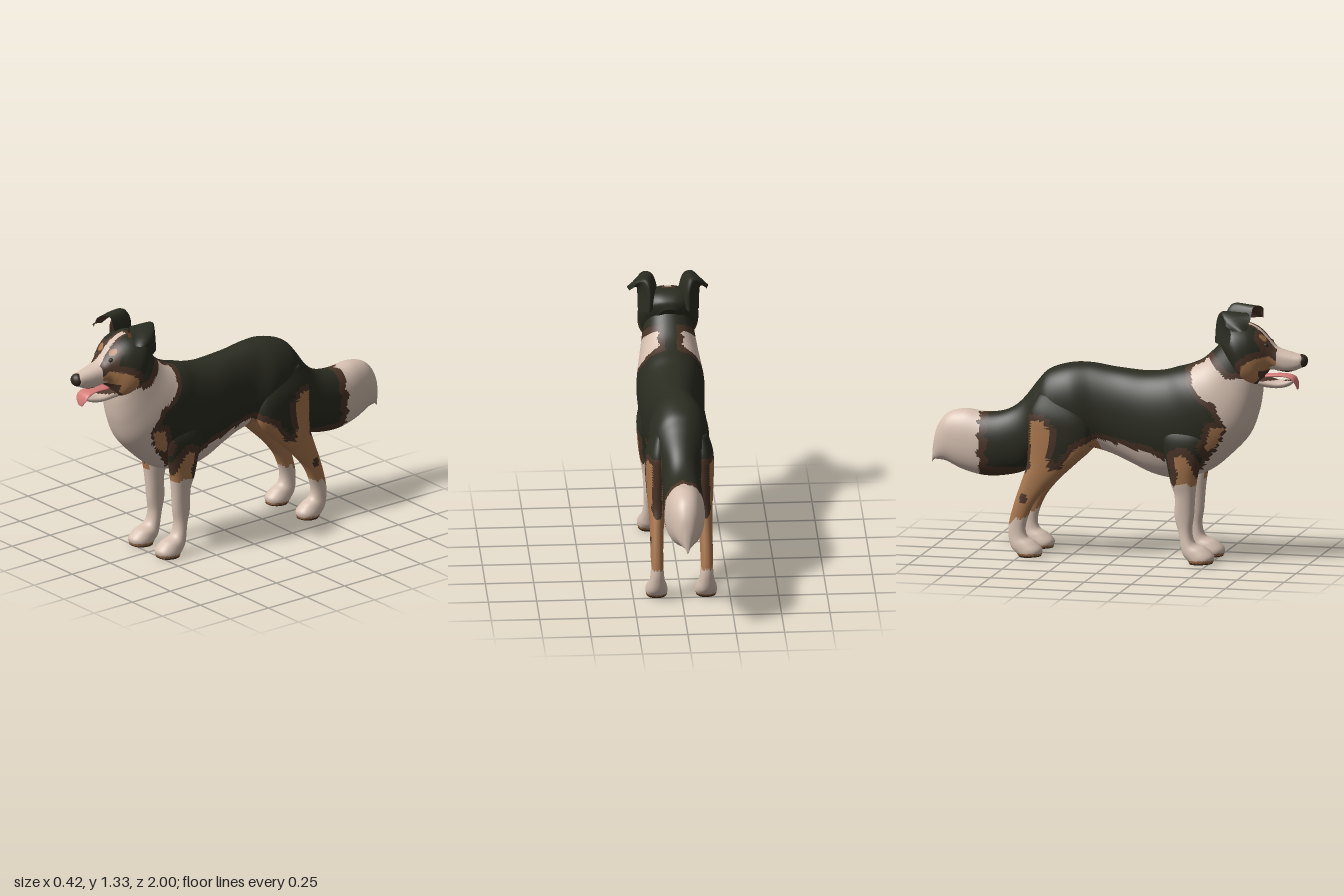
import * as THREE from 'three';

const mat = (name, color) => Object.assign(new THREE.MeshStandardMaterial({ color }), { name });
const BLACK = 0, BROWN = 1, TAN = 2, CREAM = 3, PINK = 4, NOSE = 5;
const materials = [
  mat('black coat', 0x2b2c21), mat('dark brown trim', 0x4a3427), mat('tan coat', 0xa9774e),
  mat('cream coat', 0xd6c0b1), mat('tongue pink', 0xd47c78), mat('nose dark', 0x33271f),
];

// Signed distance to a polygon in the (z, y) plane, negative inside.
function polyDist(p, z, y) {
  let d = Infinity, inside = false;
  for (let i = 0, j = p.length - 1; i < p.length; j = i++) {
    const [az, ay] = p[i], [bz, by] = p[j], ez = bz - az, ey = by - ay;
    const t = THREE.MathUtils.clamp(((z - az) * ez + (y - ay) * ey) / (ez * ez + ey * ey), 0, 1);
    d = Math.min(d, Math.hypot(z - az - t * ez, y - ay - t * ey));
    if ((ay > y) !== (by > y) && z < az + (ez * (y - ay)) / ey) inside = !inside;
  }
  return inside ? -d : d;
}

// Coat markings, outlined on the side of the animal.
const bib = [[.8, 1.05], [.66, .98], [.6, .985], [.53, 1.05], [.48, 1.09], [.39, 1.04], [.42, .95], [.48, .88],
  [.54, .85], [.58, .77], [.6, .7], [.54, .6], [.45, .49], [.36, .48], [.27, .54], [.19, .575], [.03, .605],
  [-.1, .63], [-.12, .5], [.3, .3], [.7, .4], [.9, .8]];
const shoulderPatch = [[.59, .73], [.52, .725], [.49, .62], [.5, .59], [.55, .63]];
const elbowPatch = [[.45, .4], [.42, .52], [.38, .58], [.33, .56], [.35, .47], [.33, .4]];
const thighPatch = [[-.1, .63], [-.2, .58], [-.28, .47], [-.34, .46], [-.35, .58], [-.33, .66], [-.37, .72], [-.44, .72],
  [-.44, .47], [-.6, .3], [-.5, .1], [-.15, .4], [-.08, .58]];
const cheekPatch = [[.86, 1.06], [.81, 1.1], [.73, 1.085], [.68, 1.05], [.665, .97], [.71, .93], [.78, 1]];
const jag = (a) => 0.008 * Math.sin(a * 70) + 0.006 * Math.sin(a * 131);

function bodyColor(x, y, z) {
  const ax = Math.abs(x);
  if (z < -.46) {
    const edge = -.73 + jag(x + y) - .03 * Math.abs(y - .57);
    if (z < edge) return CREAM;
    return z < edge + .045 || y < .455 ? BROWN : BLACK;
  }
  const dBib = z < .6 && y > .9 ? Math.max(polyDist(bib, z, y), .065 - ax) : polyDist(bib, z, y);
  const dTan = Math.min(polyDist(shoulderPatch, z, y), polyDist(thighPatch, z, y));
  if (dTan < 0 && ax > .05) return TAN;
  if (dBib < jag(z + y) * .6) return CREAM;
  return Math.min(dBib, dTan) < .032 ? BROWN : BLACK;
}

function frontLegColor(x, y, z) {
  if (y < .012) return BROWN;
  if (y < .024) return TAN;
  if (y < .42 + jag(z) || Math.abs(x) < .085) return CREAM;
  const d = Math.min(polyDist(elbowPatch, z, y), polyDist(shoulderPatch, z, y));
  return d < 0 ? TAN : d < .04 ? BROWN : BLACK;
}

function hindLegColor(x, y, z) {
  if (y < .012) return BROWN;
  if (y < .2 + jag(z) + (z + .5) * .4) return y < .022 ? TAN : CREAM;
  if (Math.hypot(z + .475, (y - .31) * .8) < .022 && Math.abs(x) > .13) return BROWN;
  if (y < .4 || (Math.abs(x) < .1 && y < .62)) return TAN;
  const d = polyDist(thighPatch, z, y);
  return d < 0 ? TAN : d < .032 ? BROWN : BLACK;
}

function headColor(x, y, z) {
  const ax = Math.abs(x);
  if (z > .66 && y > 1.08 && ax < .018 + Math.max(0, z - .8) * .3) return CREAM;
  if (z > .76 && y < 1.022) return BROWN;
  if (z > .845 || (z > .81 && y < 1.08 && ax < .06)) return CREAM;
  if (ax < .065 && y < 1) return CREAM;
  if (z > .7 && Math.hypot((ax - .05) * .8, y - 1.19) < .017) return TAN;
  const d = polyDist(cheekPatch, z, y);
  if (d < 0) return TAN;
  return d < .035 || (z > .735 && ax < .1) || (z > .64 && ax < .035) ? BROWN : BLACK;
}

const jawColor = (x, y, z) => (y > .965 || z < .72 ? BROWN : CREAM);

// Geometry whose faces are grouped by a colour rule taken at their centres.
function paint(pos, tris, rule) {
  const buckets = materials.map(() => []);
  const mid = (t, k) => (pos[t[0] * 3 + k] + pos[t[1] * 3 + k] + pos[t[2] * 3 + k]) / 3;
  for (const t of tris) buckets[rule(mid(t, 0), mid(t, 1), mid(t, 2))].push(...t);
  const g = new THREE.BufferGeometry();
  g.setAttribute('position', new THREE.Float32BufferAttribute(pos, 3));
  g.setIndex(buckets.flat());
  let start = 0;
  buckets.forEach((b, i) => { if (b.length) g.addGroup(start, b.length, i); start += b.length; });
  g.computeVertexNormals();
  return g;
}

// Closed loft; a station is [z, y of one edge, z, y of the other edge, half width, centre x].
function loft(name, stations, rule, rings, sides, side = 1, power = .9) {
  const curve = (f) => new THREE.CatmullRomCurve3(stations.map(f), false, 'catmullrom');
  const A = curve((s) => new THREE.Vector3(s[4], s[1], s[0]));
  const B = curve((s) => new THREE.Vector3(s[5] || 0, s[3], s[2]));
  const pos = [], tris = [], soft = (v) => Math.sign(v) * Math.abs(v) ** power;
  const add = (x, y, z) => pos.push(x * side, Math.max(0, y), z);
  for (let i = 0; i <= rings; i++) {
    const a = A.getPoint(i / rings), b = B.getPoint(i / rings);
    for (let j = 0; j < sides; j++) {
      const th = (j / sides) * Math.PI * 2, s = soft(Math.sin(th)) / 2;
      add(b.x + Math.max(a.x, .002) * soft(Math.cos(th)), (a.y + b.y) / 2 + (a.y - b.y) * s, (a.z + b.z) / 2 + (a.z - b.z) * s);
      const p = i * sides + j, q = i * sides + ((j + 1) % sides);
      if (i < rings) tris.push([p, q, p + sides], [q, q + sides, p + sides]);
    }
  }
  for (const i of [0, rings]) {
    const a = A.getPoint(i / rings), b = B.getPoint(i / rings), c = pos.length / 3;
    add(b.x, (a.y + b.y) / 2, (a.z + b.z) / 2);
    for (let j = 0; j < sides; j++) {
      const p = i * sides + j, q = i * sides + ((j + 1) % sides);
      tris.push(i ? [p, q, c] : [q, p, c]);
    }
  }
  // Turn every face outward.
  const v = (k) => new THREE.Vector3().fromArray(pos, k * 3);
  const volume = tris.reduce((sum, t) => sum + v(t[0]).dot(v(t[1]).cross(v(t[2]))), 0);
  if (volume < 0) tris.forEach((t) => t.reverse());
  return Object.assign(new THREE.Mesh(paint(pos, tris, rule), materials), { name });
}

// Folded ear shell: rows of inner, back and outer edge points from base to tip.
function ear(name, side, lining) {
  const rows = [
    [[.05, 1.2, .67], [.1, 1.17, .53], [.158, 1.15, .62]],
    [[.06, 1.27, .68], [.1, 1.28, .54], [.16, 1.23, .63]],
    [[.085, 1.325, .69], [.125, 1.33, .57], [.165, 1.28, .61]],
    [[.135, 1.315, .725], [.175, 1.305, .61], [.19, 1.27, .61]],
    [[.175, 1.25, .72], [.208, 1.25, .7], [.2, 1.245, .65]],
  ];
  const rails = [0, 1, 2].map((k) => new THREE.CatmullRomCurve3(rows.map((r) => new THREE.Vector3(...r[k])), false, 'catmullrom'));
  const N = 14, pos = [], tris = [];
  for (let i = 0; i <= N; i++) {
    const across = new THREE.CatmullRomCurve3(rails.map((r) => r.getPoint(i / N)));
    for (let j = 0; j <= N; j++) {
      const p = across.getPoint(j / N);
      pos.push(p.x * side, p.y, p.z);
      const a = i * (N + 1) + j, b = a + N + 1;
      if (i < N && j < N) tris.push([a, a + 1, b], [a + 1, b + 1, b]);
    }
  }
  if (lining === side < 0) tris.forEach((t) => t.reverse());
  const rule = (x, y) => (!lining ? BLACK : y < 1.28 && Math.abs(x) < .14 ? TAN : BROWN);
  return Object.assign(new THREE.Mesh(paint(pos, tris, rule), materials), { name });
}

function ball(name, index, x, y, z, sx, sy, sz) {
  const m = new THREE.Mesh(new THREE.SphereGeometry(1, 16, 12), materials[index]);
  m.position.set(x, y, z);
  m.scale.set(sx, sy, sz);
  m.name = name;
  return m;
}

export function createModel() {
  const dog = new THREE.Group();
  dog.name = 'dog';

  // Neck, trunk and bushy tail in one sweep
  dog.add(loft('bodyAndTail', [
    [.58, 1.2, .76, .96, .12], [.52, 1.13, .755, .88, .135], [.45, 1.065, .735, .78, .15], [.38, 1.03, .69, .67, .165],
    [.31, 1.01, .6, .57, .175], [.24, .99, .48, .475, .17], [.15, .98, .32, .43, .16], [.06, .985, .19, .445, .148],
    [-.04, .995, .06, .5, .132], [-.15, 1.01, -.05, .545, .13], [-.26, 1.005, -.17, .57, .155], [-.37, .97, -.3, .55, .15],
    [-.43, .91, -.38, .54, .125], [-.5, .82, -.43, .5, .1], [-.56, .765, -.5, .43, .1], [-.63, .735, -.61, .4, .105],
    [-.72, .727, -.72, .395, .105], [-.82, .738, -.83, .42, .095], [-.91, .715, -.92, .46, .075],
    [-.965, .65, -.965, .465, .048], [-.99, .56, -.985, .465, .022], [-1, .46, -1, .45, .004],
  ], bodyColor, 200, 80));

  // Head with muzzle, lower jaw, tongue and nose
  dog.add(loft('head', [
    [.53, 1.18, .62, .98, .06], [.545, 1.225, .67, .95, .125], [.6, 1.255, .71, .935, .157], [.68, 1.255, .75, .94, .143],
    [.745, 1.225, .785, 1, .108], [.8, 1.17, .81, 1.02, .078], [.84, 1.135, .85, 1.015, .062], [.92, 1.112, .9, 1.01, .05],
    [.97, 1.1, .96, 1.03, .038], [.985, 1.092, .975, 1.045, .02],
  ], headColor, 100, 80, 1, .82));
  dog.add(loft('lowerJaw', [
    [.68, 1.01, .7, .935, .08], [.76, .985, .76, .928, .067], [.84, .965, .84, .922, .052], [.9, .968, .9, .935, .036], [.93, .972, .93, .96, .01],
  ], jawColor, 24, 24));
  dog.add(loft('tongue', [
    [.78, .995, .78, .975, .035], [.87, .998, .865, .984, .042], [.925, .987, .915, .973, .045], [.945, .955, .935, .95, .04], [.95, .922, .944, .92, .015],
  ], () => PINK, 24, 20));
  dog.add(ball('nose', NOSE, 0, 1.07, .968, .036, .034, .032));

  for (const side of [1, -1]) {
    const label = side > 0 ? 'left' : 'right';
    dog.add(ball(label + 'Eye', NOSE, .058 * side, 1.152, .787, .014, .014, .018));
    dog.add(ear(label + 'EarOuter', side, false), ear(label + 'EarLining', side, true));
    dog.add(loft(label + 'FrontLeg', [
      [.49, .74, .24, .74, .03, .115], [.5, .65, .25, .65, .05, .128], [.465, .54, .28, .53, .052, .125], [.44, .45, .3, .42, .05, .115],
      [.428, .36, .32, .35, .042, .11], [.42, .25, .32, .24, .037, .107], [.41, .17, .34, .16, .037, .107],
      [.428, .11, .355, .08, .045, .11], [.485, .085, .365, .045, .055, .11], [.527, .045, .39, .018, .061, .111], [.52, .006, .4, 0, .056, .111],
    ], frontLegColor, 70, 32, side));
    dog.add(loft(label + 'HindLeg', [
      [-.2, .84, -.4, .86, .035, .105], [-.14, .72, -.45, .76, .058, .115], [-.13, .62, -.458, .66, .06, .117], [-.17, .54, -.46, .56, .055, .118],
      [-.26, .455, -.465, .48, .047, .12], [-.36, .36, -.49, .4, .037, .125], [-.43, .27, -.53, .28, .033, .128], [-.468, .17, -.558, .17, .033, .128],
      [-.462, .11, -.558, .1, .039, .128], [-.42, .082, -.545, .05, .05, .128], [-.383, .045, -.515, .018, .057, .128], [-.388, .006, -.5, 0, .052, .128],
    ], hindLegColor, 80, 32, side));
  }
  return dog;
}
